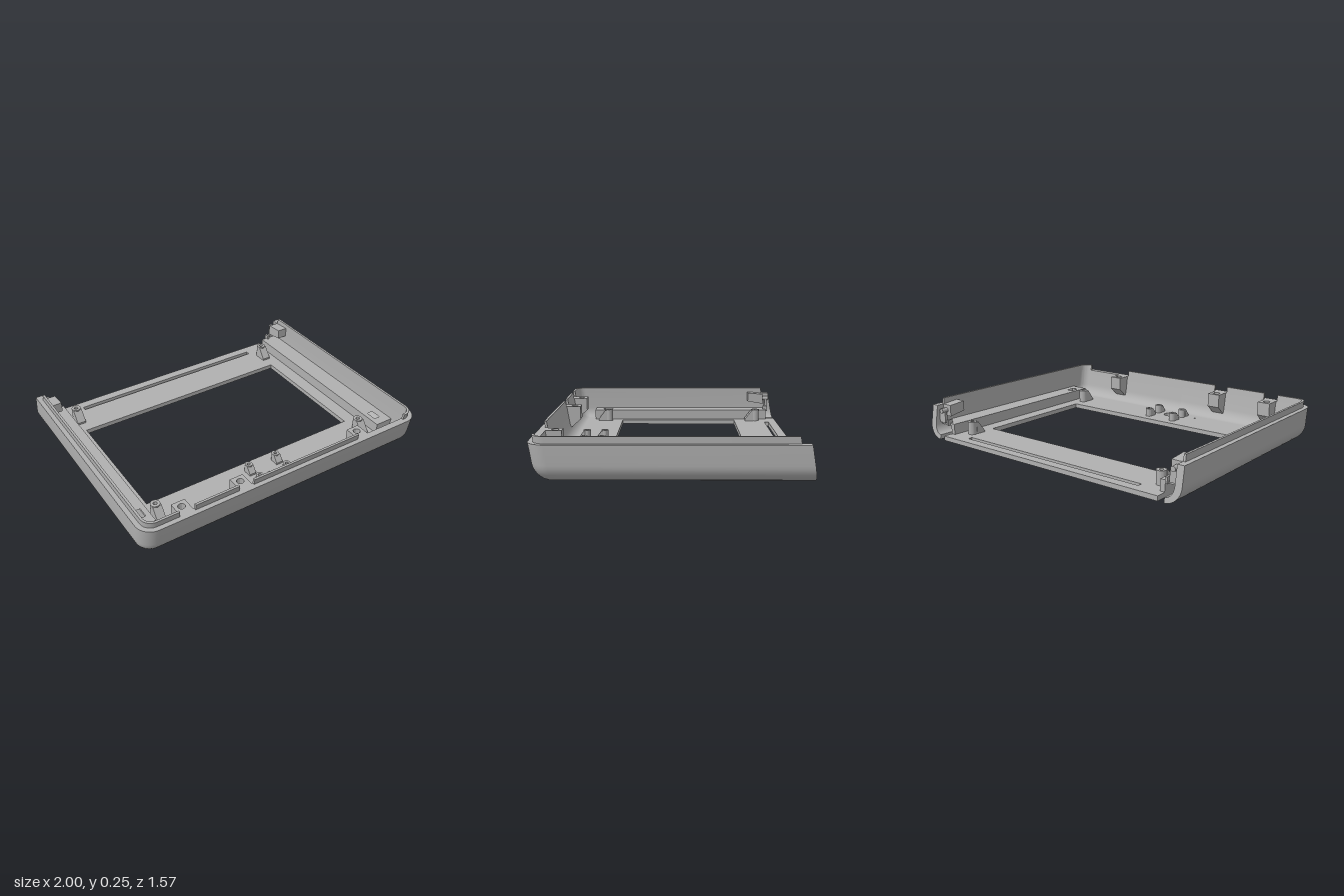
import * as THREE from 'three';
import { toCreasedNormals } from 'three/addons/utils/BufferGeometryUtils.js';

const SHEAR = 0.165;   // walls lean towards the front as they rise
const BACK = -0.785, FRONT = 0.75, FLOOR = 0.03;

export function createModel() {
  const root = new THREE.Group();
  root.name = 'bezelTray';
  const plastic = new THREE.MeshStandardMaterial({ color: 0xb0b0b0 });
  plastic.name = 'grey plastic';

  const add = (name, geometry) => {
    const mesh = new THREE.Mesh(toCreasedNormals(geometry, 0.6), plastic);
    mesh.name = name;
    root.add(mesh);
    return mesh;
  };
  const box = (name, x0, x1, y0, y1, z0, z1) =>
    add(name, new THREE.BoxGeometry(x1 - x0, y1 - y0, z1 - z0)
      .translate((x0 + x1) / 2, (y0 + y1) / 2, (z0 + z1) / 2));

  // Flat outlines given as [x, z], extruded upwards
  const outline = pts => new THREE.Shape(pts.map(([x, z]) => new THREE.Vector2(x, -z)));
  const rect = (x0, x1, z0, z1) => outline([[x0, z0], [x1, z0], [x1, z1], [x0, z1]]);
  const disc = (x, z, r) => new THREE.Shape().absarc(x, -z, r, 0, Math.PI * 2, false);
  const plate = (name, shape, holes, y0, y1) => {
    shape.holes = holes;
    const g = new THREE.ExtrudeGeometry(shape, { depth: y1 - y0, bevelEnabled: false, curveSegments: 20 });
    return add(name, g.rotateX(-Math.PI / 2).translate(0, y0, 0));
  };
  // Side outline given as [z, y], extruded across x
  const prism = (name, x, width, pts) => {
    const shape = new THREE.Shape(pts.map(([z, y]) => new THREE.Vector2(-z, y)));
    const g = new THREE.ExtrudeGeometry(shape, { depth: width, bevelEnabled: false });
    return add(name, g.rotateY(Math.PI / 2).translate(x - width / 2, 0, 0));
  };

  // Half of the U-shaped rim at a given inset: side, rounded corner, front
  const rimPath = (side, inset, back, endX) => {
    const r = Math.max(0.1 - inset, 0.002), w = 1 - inset, f = FRONT - inset;
    const pts = [[w, back]];
    for (let i = 0; i <= 10; i++) {
      const a = i / 10 * Math.PI / 2;
      pts.push([w - r + r * Math.cos(a), f - r + r * Math.sin(a)]);
    }
    pts.push([endX, f]);
    const placed = pts.map(([x, z]) => [x * side, z]);
    return side > 0 ? placed : placed.reverse();
  };

  // Sweep a closed [inset, y] profile along the rim
  const sweep = (name, side, profile, back, endX) => {
    const loops = profile.map(([d, y]) =>
      rimPath(side, d, back, endX).map(([x, z]) => [x, y, z + SHEAR * y]));
    const n = loops[0].length, m = profile.length;
    const pos = [], index = [];
    for (let i = 0; i < n; i++) for (let j = 0; j < m; j++) pos.push(...loops[j][i]);
    for (let i = 0; i < n - 1; i++) for (let j = 0; j < m; j++) {
      const k = (j + 1) % m;
      const a = i * m + j, b = a + m, c = (i + 1) * m + k, d = i * m + k;
      index.push(a, d, c, a, c, b);
    }
    const point = i => new THREE.Vector3().fromArray(pos, i * 3);
    const faces = THREE.ShapeUtils.triangulateShape(profile.map(p => new THREE.Vector2(...p)), []);
    for (const [end, next] of [[0, 1], [n - 1, n - 2]]) {
      const out = point(end * m).sub(point(next * m));
      for (const f of faces) {
        const [a, b, c] = f.map(v => v + end * m);
        const normal = point(b).sub(point(a)).cross(point(c).sub(point(a)));
        if (normal.dot(out) > 0) index.push(a, b, c);
        else index.push(a, c, b);
      }
    }
    const g = new THREE.BufferGeometry();
    g.setAttribute('position', new THREE.Float32BufferAttribute(pos, 3));
    g.setIndex(index);
    return add(name, g);
  };

  // Outer wall, rounded into the floor, open at the back
  const arc = (rx, ry) => Array.from({ length: 9 }, (_, i) => {
    const a = i / 8 * Math.PI / 2;
    return [0.1 - rx * Math.sin(a), 0.1 - ry * Math.cos(a)];
  });
  const wall = [...arc(0.1, 0.1), [0, 0.215], [0.045, 0.215], ...arc(0.055, 0.07).reverse()];
  for (const s of [1, -1]) sweep('outerWall', s, wall, BACK, 0);

  // Thin locating lip with gaps along the front
  const lip = [[0.03, 0.21], [0.03, 0.255], [0.045, 0.255], [0.045, 0.21]];
  sweep('lipLeft', 1, lip, -0.732, 0.89);
  sweep('lipRight', -1, lip, -0.732, 0.76);
  for (const [x0, x1] of [[-0.66, -0.37], [-0.27, 0.51]]) {
    prism('lipFront', (x0 + x1) / 2, x1 - x0,
      [[0.705, 0.21], [0.72, 0.21], [0.72, 0.255], [0.705, 0.255]]
        .map(([z, y]) => [z + SHEAR * y, y]));
  }

  // Floor in two layers: the lower one leaves a shallow recess underneath
  const floorShape = () => outline([
    [-0.86, BACK], [-0.86, 0.6], [-0.9, 0.6], [-0.9, 0.655],
    [0.9, 0.655], [0.9, 0.6], [0.86, 0.6], [0.86, BACK]]);
  const openings = () => [rect(-0.78, 0.74, -0.47, 0.385), rect(-0.69, 0.69, -0.725, -0.695)];
  plate('floorLower', floorShape(), [...openings(), rect(-0.35, 0.12, 0.52, 0.645)], 0, 0.008);
  plate('floorUpper', floorShape(),
    [...openings(), disc(0, 0.575, 0.04), disc(-0.2, 0.6, 0.006)], 0.008, FLOOR);

  for (const s of [1, -1]) {
    const span = (a, b) => (s > 0 ? [a, b] : [-b, -a]);
    // Hollow channel along each side with a slot near the front
    plate('channelTop', rect(...span(0.83, 0.957), -0.72, 0.6),
      [rect(...span(0.862, 0.903), 0.47, 0.54)], 0.085, 0.1);
    box('channelSide', ...span(0.83, 0.86), 0.02, 0.085, -0.72, 0.6);
    box('channelEnd', ...span(0.86, 0.955), 0.02, 0.085, 0.58, 0.6);

    // Screw block on the side wall with a hinge clip behind it
    prism('rearBlock', s * 0.921, 0.072,
      [[-0.7, 0.14], [-0.585, 0.16], [-0.585, 0.225], [-0.7, 0.215]]);
    box('rearClipPlate', ...span(0.9, 0.96), 0.1, 0.17, -0.735, -0.718);
    const pin = new THREE.CylinderGeometry(0.016, 0.016, 0.06, 16).rotateX(Math.PI / 2);
    add('rearPin', pin.translate(s * 0.925, 0.18, -0.715));
    box('rearTab', ...span(0.87, 0.885), 0.085, 0.125, -0.735, -0.7);
  }

  // Screw bosses hanging on the front wall
  for (const x of [-0.71, -0.32, 0.56]) {
    plate('frontBoss', rect(x - 0.044, x + 0.044, 0.645, 0.745), [disc(x, 0.688, 0.022)], 0.14, 0.215);
    prism('frontBossTaper', x, 0.088,
      [[0.645, 0.14], [0.645, 0.125], [0.72, 0.06], [0.735, 0.14]]);
  }

  // Screw posts with a sloping gusset
  const post = (name, x, z, r, top, run) => {
    plate(name, disc(x, z, r), [disc(x, z, r * 0.42)], FLOOR - 0.01, top);
    prism(name + 'Gusset', x, r * 1.9, [
      [z + r * 0.5, FLOOR - 0.005], [z + run, FLOOR - 0.005],
      [z + run, FLOOR + 0.012], [z + r * 0.85, top - 0.004], [z + r * 0.5, top - 0.004]]);
  };
  for (const x of [-0.775, 0.755]) for (const z of [-0.63, 0.49]) post('screenPost', x, z, 0.03, 0.115, 0.078);
  for (const x of [-0.102, 0.102]) for (const z of [0.46, 0.58]) post('boardPost', x, z, 0.024, 0.085, 0.05);

  return root;
}
